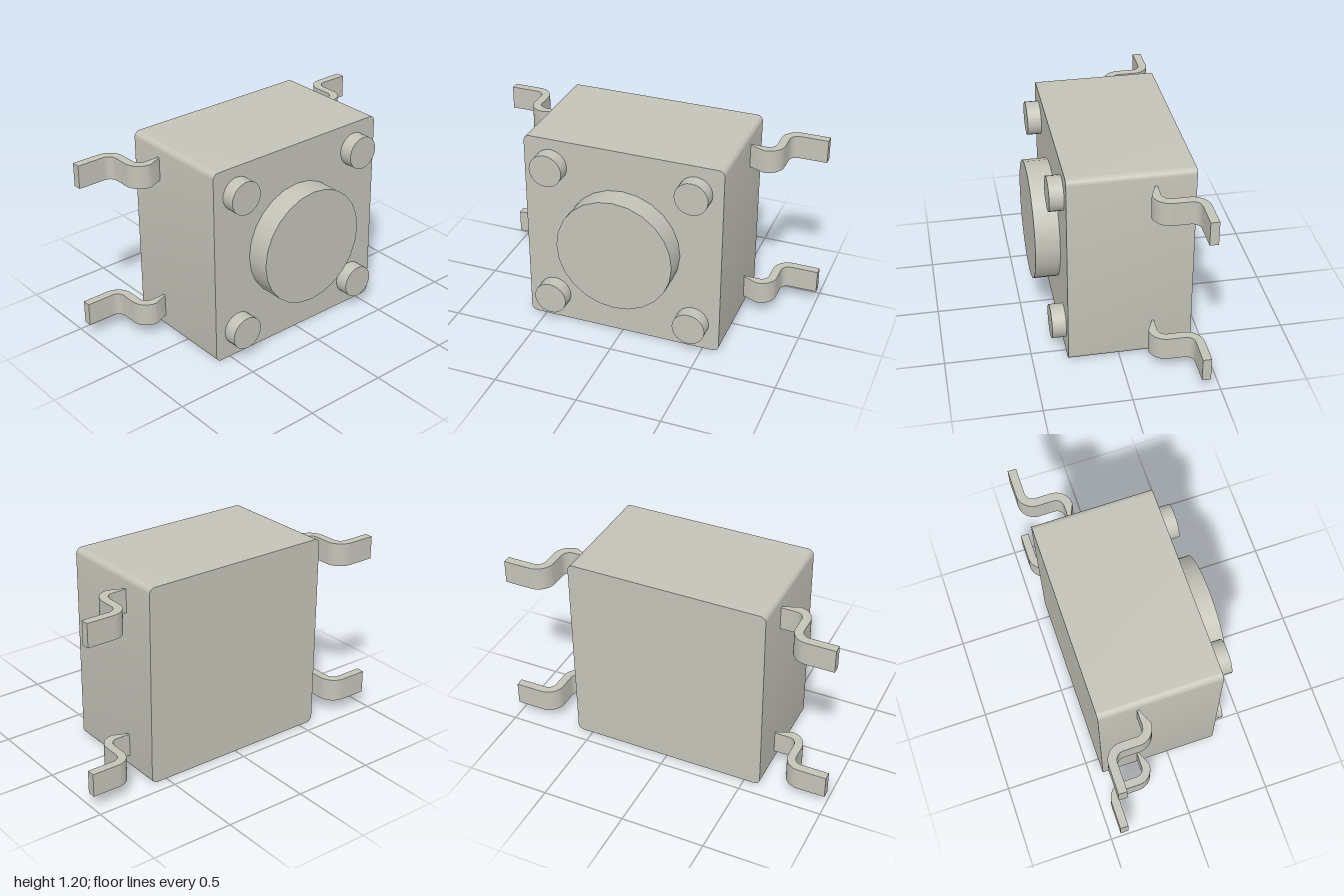
import * as THREE from 'three';
import { toCreasedNormals } from 'three/addons/utils/BufferGeometryUtils.js';

export function createModel() {
  const model = new THREE.Group();
  model.name = 'pushSwitch';
  const warmGrey = new THREE.MeshStandardMaterial({ color: 0xc4c3b8 });
  warmGrey.name = 'warmGrey';

  function add(name, geometry, x = 0, y = 0, z = 0) {
    const mesh = new THREE.Mesh(geometry, warmGrey);
    mesh.name = name;
    mesh.position.set(x, y, z);
    model.add(mesh);
  }

  // Housing: a block with its four front-to-back edges rounded
  const w = 0.597, h = 1.2, r = 0.035;
  const outline = new THREE.Shape();
  outline.absarc(w - r, r, r, -Math.PI / 2, 0);
  outline.absarc(w - r, h - r, r, 0, Math.PI / 2);
  outline.absarc(-w + r, h - r, r, Math.PI / 2, Math.PI);
  outline.absarc(-w + r, r, r, Math.PI, Math.PI * 1.5);
  const housing = new THREE.ExtrudeGeometry(outline, { depth: 0.715, bevelEnabled: false, curveSegments: 6 });
  add('housing', toCreasedNormals(housing, 0.6), 0, 0, -0.42);

  // Round parts standing on the front face
  function disc(name, radius, front, segments, x, y) {
    const back = 0.285;
    const geometry = new THREE.CylinderGeometry(radius, radius, front - back, segments).rotateX(Math.PI / 2);
    add(name, geometry, x, y, (front + back) / 2);
  }
  disc('button', 0.35, 0.437, 24, 0, 0.603);
  for (const x of [-0.434, 0.434]) {
    for (const y of [0.17, 1.036]) disc('cornerPeg', 0.099, 0.376, 24, x, y);
  }

  // Lead: an S-bent strip seen from above, x outward and y towards the back
  const strip = new THREE.Shape();
  strip.moveTo(0.57, 0.15);
  strip.absarc(0.685, 0.25, 0.1, -Math.PI / 2, 0, false);
  strip.absarc(0.835, 0.34, 0.05, Math.PI, Math.PI / 2, true);
  strip.lineTo(1, 0.39);
  strip.lineTo(1, 0.44);
  strip.absarc(0.835, 0.34, 0.1, Math.PI / 2, Math.PI, false);
  strip.absarc(0.685, 0.25, 0.05, 0, -Math.PI / 2, true);
  strip.lineTo(0.57, 0.2);
  const points = strip.getPoints(8);

  for (const side of [1, -1]) {
    const shape = new THREE.Shape(points.map((p) => new THREE.Vector2(p.x * side, p.y)));
    const flat = new THREE.ExtrudeGeometry(shape, { depth: 0.14, bevelEnabled: false });
    const lead = toCreasedNormals(flat.rotateX(-Math.PI / 2), 0.6);
    for (const y of [0.082, 0.982]) add(side > 0 ? 'leftLead' : 'rightLead', lead, 0, y, 0);
  }
  return model;
}
